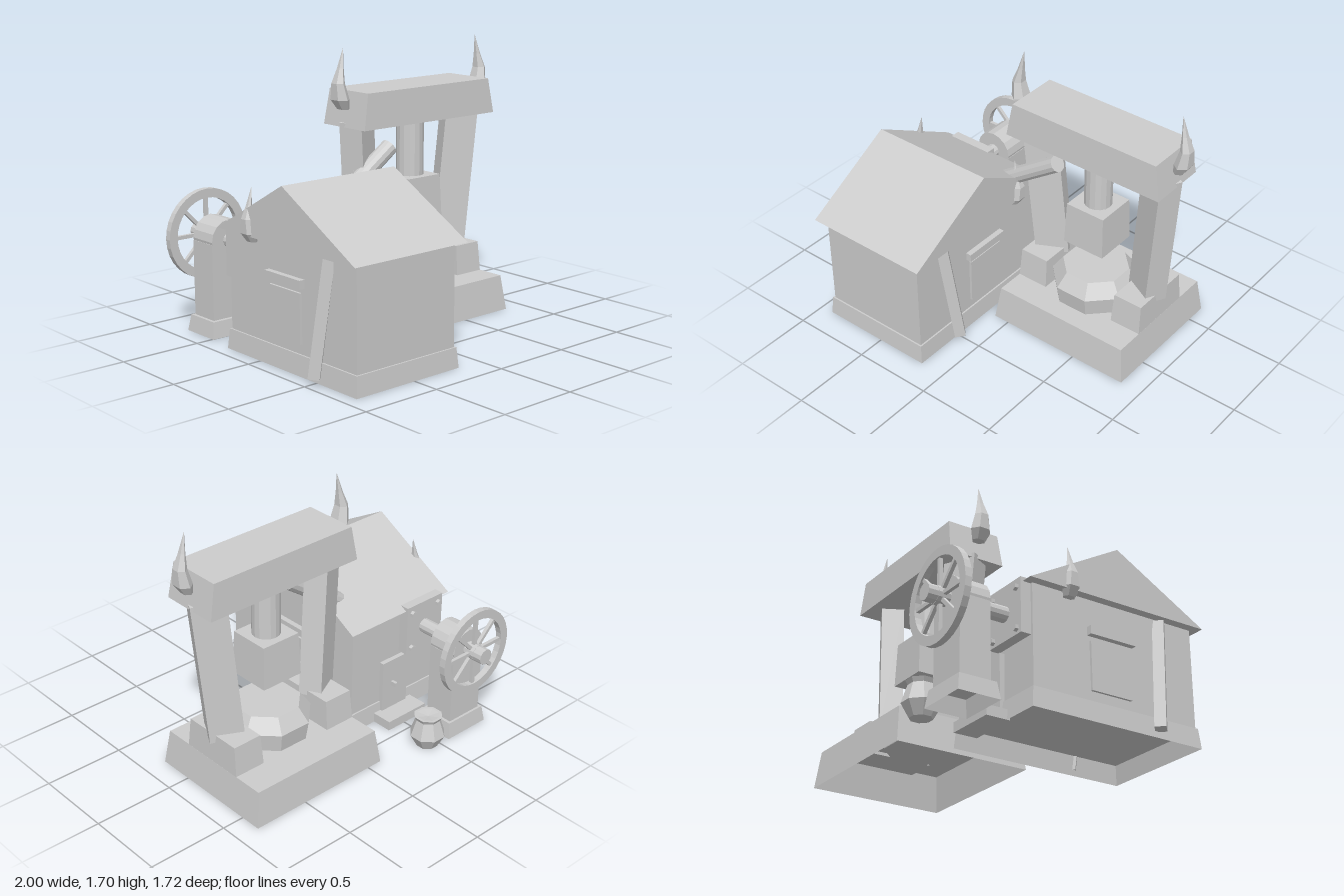
import * as THREE from 'three';

const stone = new THREE.MeshStandardMaterial({ color: 0xcccccc, flatShading: true, side: THREE.DoubleSide });
stone.name = 'plain grey';

export function createModel() {
  const root = new THREE.Group();
  root.name = 'forge';

  function add(name, geo, x = 0, y = 0, z = 0, parent = root) {
    const mesh = new THREE.Mesh(geo, stone);
    mesh.name = name;
    mesh.position.set(x, y, z);
    parent.add(mesh);
    return mesh;
  }
  const box = (name, x0, x1, y0, y1, z0, z1) =>
    add(name, new THREE.BoxGeometry(x1 - x0, y1 - y0, z1 - z0), (x0 + x1) / 2, (y0 + y1) / 2, (z0 + z1) / 2);

  // Box with separate bottom and top sizes, optionally hollow underneath
  function taper(name, cx, cz, y0, y1, w0, d0, w1, d1, open = false) {
    const g = new THREE.BoxGeometry(1, 1, 1);
    const p = g.attributes.position;
    for (let i = 0; i < p.count; i++) {
      const top = p.getY(i) > 0;
      p.setXYZ(i, p.getX(i) * (top ? w1 : w0), top ? y1 : y0, p.getZ(i) * (top ? d1 : d0));
    }
    if (open) {
      const index = Array.from(g.index.array);
      index.splice(18, 6);
      g.setIndex(index);
      g.clearGroups();
    }
    return add(name, g, cx, 0, cz);
  }

  // Bar or cylinder stretched between two points
  function between(name, geo, a, b, yaw = 0) {
    const from = new THREE.Vector3(...a), to = new THREE.Vector3(...b);
    const dir = to.clone().sub(from);
    geo.scale(1, dir.length(), 1);
    geo.rotateY(yaw);
    const mesh = add(name, geo);
    mesh.position.copy(from).add(to).multiplyScalar(0.5);
    mesh.quaternion.setFromUnitVectors(new THREE.Vector3(0, 1, 0), dir.normalize());
    return mesh;
  }

  // Curved horn: rings of [outward offset, height, radius]
  function horn(name, x, y, z, side, scale) {
    const rings = [[0.02, -0.03, 0.045], [0.045, 0.03, 0.07], [0.06, 0.13, 0.05], [0.042, 0.22, 0.025], [0.02, 0.34, 0.001]];
    const g = new THREE.CylinderGeometry(1, 1, 1, 6, rings.length - 1);
    const p = g.attributes.position;
    for (let i = 0; i < p.count; i++) {
      const [out, h, r] = rings[Math.round((p.getY(i) + 0.5) * (rings.length - 1))];
      p.setXYZ(i, (side * out + p.getX(i) * r * 0.75) * scale, h * scale, p.getZ(i) * r * scale);
    }
    add(name, g, x, y, z);
  }

  // House body
  const hx = -0.54, hz = 0.26;
  taper('housePlinth', hx, hz, 0, 0.12, 0.75, 1.14, 0.73, 1.12, true);
  taper('houseWalls', hx, hz, 0.12, 0.72, 0.71, 1.1, 0.71, 1.1);
  const gable = new THREE.Shape([[-0.86, 0.72], [0.34, 0.72], [-0.26, 1.055]].map(v => new THREE.Vector2(...v)));
  const roof = new THREE.ExtrudeGeometry(gable, { depth: 0.815, bevelEnabled: false });
  roof.rotateY(Math.PI / 2);
  add('roof', roof, -0.95);

  // Shutters, leaning posts and horns on both gable walls
  for (const s of [-1, 1]) {
    const wall = hx + s * 0.355;
    add('shutter', new THREE.BoxGeometry(0.03, 0.29, 0.27), wall, 0.325, 0.22);
    add('windowLintel', new THREE.BoxGeometry(0.07, 0.05, 0.31), wall, 0.525, 0.225);
    between('leaningPost', new THREE.BoxGeometry(0.065, 1, 0.065),
      [hx + s * 0.405, 0.04, 0.515], [hx + s * 0.35, 0.71, 0.585], Math.PI / 4);
    horn('houseHorn', hx + s * 0.355, 0.71, -0.06, s, 0.83);
  }

  // Back door and step
  box('doorStep', -0.68, -0.365, 0, 0.06, -0.44, -0.29);
  box('door', -0.63, -0.42, 0.06, 0.4, -0.32, -0.28);
  box('doorHandle', -0.51, -0.49, 0.22, 0.25, -0.36, -0.31);

  // Chimney pipe
  between('pipe', new THREE.CylinderGeometry(0.052, 0.052, 1, 12), [-0.29, 0.79, -0.08], [0.138, 1.09, -0.08]);

  // Axle mount with bolts
  const ax = -0.73, ay = 0.575;
  box('axlePlate', -0.88, -0.58, 0.42, 0.745, -0.355, -0.28);
  for (const dx of [-0.11, 0.11]) for (const dy of [-0.12, 0.12]) {
    const bolt = add('plateBolt', new THREE.CylinderGeometry(0.022, 0.022, 0.03, 6), ax + dx, ay + dy, -0.362);
    bolt.rotation.x = Math.PI / 2;
  }
  const along = (name, r, z0, z1, sides) => {
    add(name, new THREE.CylinderGeometry(r, r, z0 - z1, sides), ax, ay, (z0 + z1) / 2).rotation.x = Math.PI / 2;
  };
  along('axle', 0.045, -0.3, -0.84, 12);
  along('drum', 0.125, -0.53, -0.72, 16);
  along('wheelHub', 0.052, -0.73, -0.8, 12);
  along('axleCap', 0.05, -0.8, -0.86, 12);

  // Drum stand
  taper('standBase', ax, -0.62, 0, 0.1, 0.32, 0.26, 0.29, 0.23, true);
  taper('standPillar', ax, -0.625, 0.1, 0.56, 0.25, 0.19, 0.25, 0.19);

  // Spoked wheel
  const wheel = new THREE.Group();
  wheel.name = 'wheel';
  wheel.position.set(ax, ay, -0.765);
  root.add(wheel);
  const rim = new THREE.Shape().absarc(0, 0, 0.275, 0, Math.PI * 2);
  rim.holes.push(new THREE.Path().absarc(0, 0, 0.22, 0, Math.PI * 2, true));
  const rimGeo = new THREE.ExtrudeGeometry(rim, { depth: 0.04, bevelEnabled: false, curveSegments: 16 });
  add('wheelRim', rimGeo, 0, 0, -0.02, wheel);
  for (let i = 0; i < 8; i++) {
    const a = i * Math.PI / 4;
    const spoke = add('wheelSpoke', new THREE.BoxGeometry(0.2, 0.022, 0.022), Math.cos(a) * 0.13, Math.sin(a) * 0.13, 0, wheel);
    spoke.rotation.z = a;
  }

  // Clay pot beside the wheel
  const profile = [[0, 0], [0.065, 0], [0.11, 0.08], [0.075, 0.185], [0.088, 0.21], [0.07, 0.21], [0, 0.2]];
  const pot = new THREE.LatheGeometry(profile.map(v => new THREE.Vector2(...v)), 8);
  pot.rotateY(Math.PI / 8);
  add('pot', pot, -0.44, 0, -0.69);

  // Press base, anvil and hammer
  const px = 0.38, pz = -0.16;
  taper('pressBase', px, -0.205, 0, 0.22, 0.96, 0.855, 0.9, 0.805, true);
  const anvil = new THREE.LatheGeometry(
    [[0, 0.18], [0.245, 0.18], [0.27, 0.335], [0.205, 0.425], [0, 0.425]].map(v => new THREE.Vector2(...v)), 8);
  anvil.rotateY(Math.PI / 8);
  add('anvil', anvil, px, 0, pz);
  add('pistonRod', new THREE.CylinderGeometry(0.085, 0.085, 0.4, 16), px, 1.05, pz);
  taper('hammerHead', px, pz, 0.61, 0.88, 0.28, 0.28, 0.26, 0.26);

  // Footings, twisted pillars and horns, mirrored
  for (const s of [-1, 1]) {
    taper('pillarFooting', px + s * 0.348, -0.198, 0.2, 0.405, 0.205, 0.435, 0.19, 0.395);
    between('pillar', new THREE.BoxGeometry(0.205, 1, 0.14),
      [px + s * 0.35, 0.365, -0.2], [px + s * 0.428, 1.265, -0.165], -s * 0.48);
    horn('beamHorn', px + s * 0.525, 1.37, -0.15, s, 0.97);
  }
  taper('topBeam', px, -0.155, 1.23, 1.445, 1.07, 0.37, 0.995, 0.345);

  return root;
}
